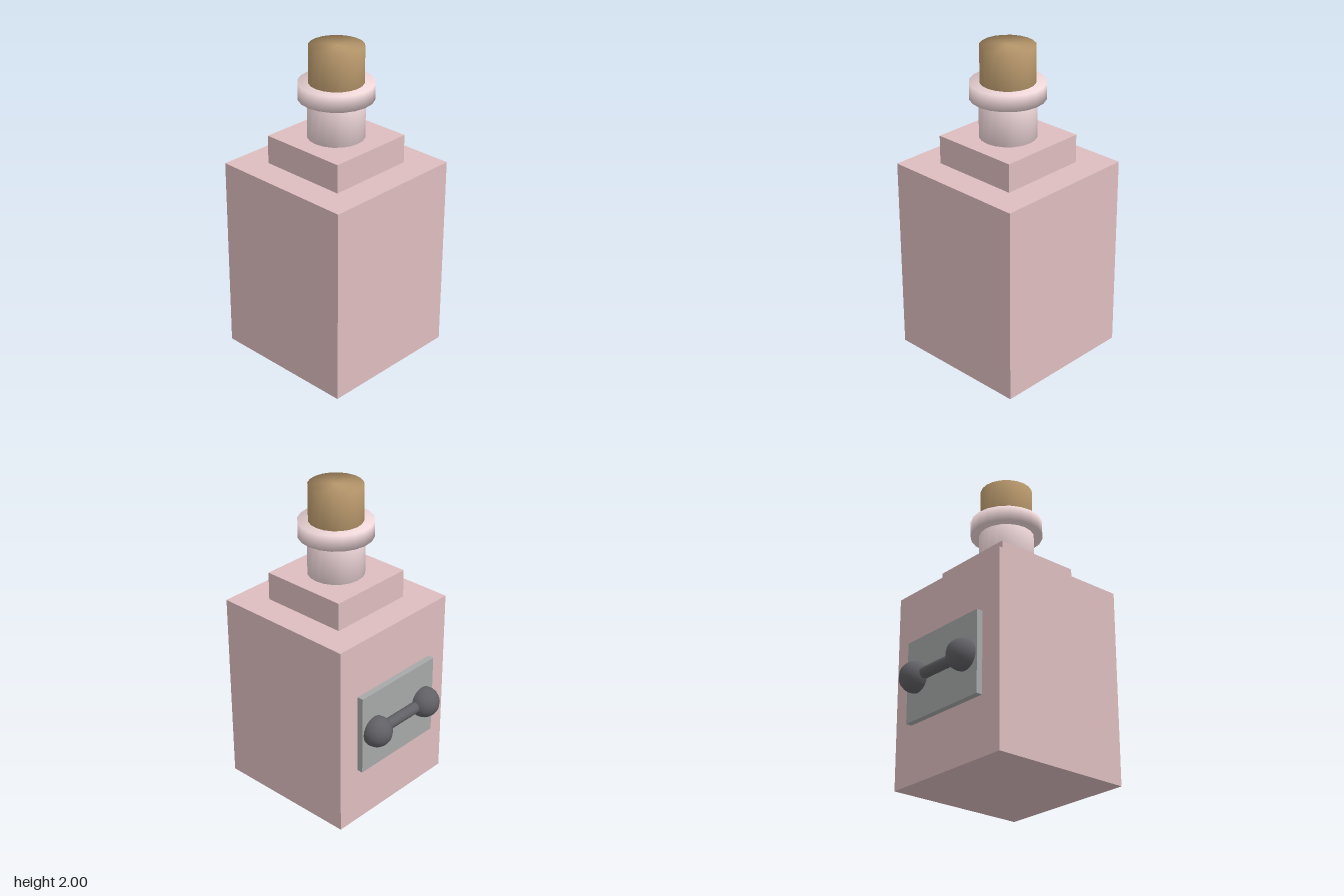
import * as THREE from 'three';
import { mergeVertices } from 'three/addons/utils/BufferGeometryUtils.js';

const BODY_Z = 0.08; // the bottle axis, the handle sits behind it
const pink = 0xddbdbf, palePink = 0xeed6d8, cork = 0xb8986c, steel = 0xa6a9a8, iron = 0x606065;

// Cylinder whose normals are shared between wall and caps, for a soft rim
function softCylinder(radius, height, sides) {
  const g = new THREE.CylinderGeometry(radius, radius, height, sides);
  g.deleteAttribute('normal');
  g.deleteAttribute('uv');
  const merged = mergeVertices(g);
  merged.computeVertexNormals();
  return merged;
}

export function createModel() {
  const model = new THREE.Group();
  model.name = 'bottle';

  function add(name, geometry, color, x, y, z, parent = model) {
    const mesh = new THREE.Mesh(geometry, new THREE.MeshStandardMaterial({ color }));
    mesh.name = name;
    mesh.position.set(x, y, z);
    parent.add(mesh);
    return mesh;
  }
  const box = (name, w, y0, y1, d, z, color, parent) =>
    add(name, new THREE.BoxGeometry(w, y1 - y0, d), color, 0, (y0 + y1) / 2, z, parent);
  const round = (name, r, y0, y1, color) =>
    add(name, softCylinder(r, y1 - y0, 20), color, 0, (y0 + y1) / 2, BODY_Z);

  // Square body and shoulder
  box('body', 0.94, 0, 1.25, 0.94, BODY_Z, pink);
  box('shoulder', 0.574, 1.25, 1.43, 0.574, BODY_Z, pink);

  // Neck, lip and stopper
  round('neck', 0.175, 1.43, 1.7, palePink);
  round('lip', 0.23, 1.675, 1.775, palePink);
  round('stopper', 0.167, 1.7, 2, cork);

  // Back plate with a bar between two balls
  const handle = new THREE.Group();
  handle.name = 'backHandle';
  model.add(handle);
  box('plate', 0.645, 0.37, 0.89, 0.04, -0.41, steel, handle);
  for (const side of [-1, 1]) {
    add(side > 0 ? 'leftBall' : 'rightBall', new THREE.SphereGeometry(0.097, 16, 12), iron,
      side * 0.22, 0.63, -0.453, handle);
  }
  const bar = add('bar', softCylinder(0.036, 0.44, 16), iron, 0, 0.63, -0.453, handle);
  bar.rotation.z = Math.PI / 2;

  return model;
}
